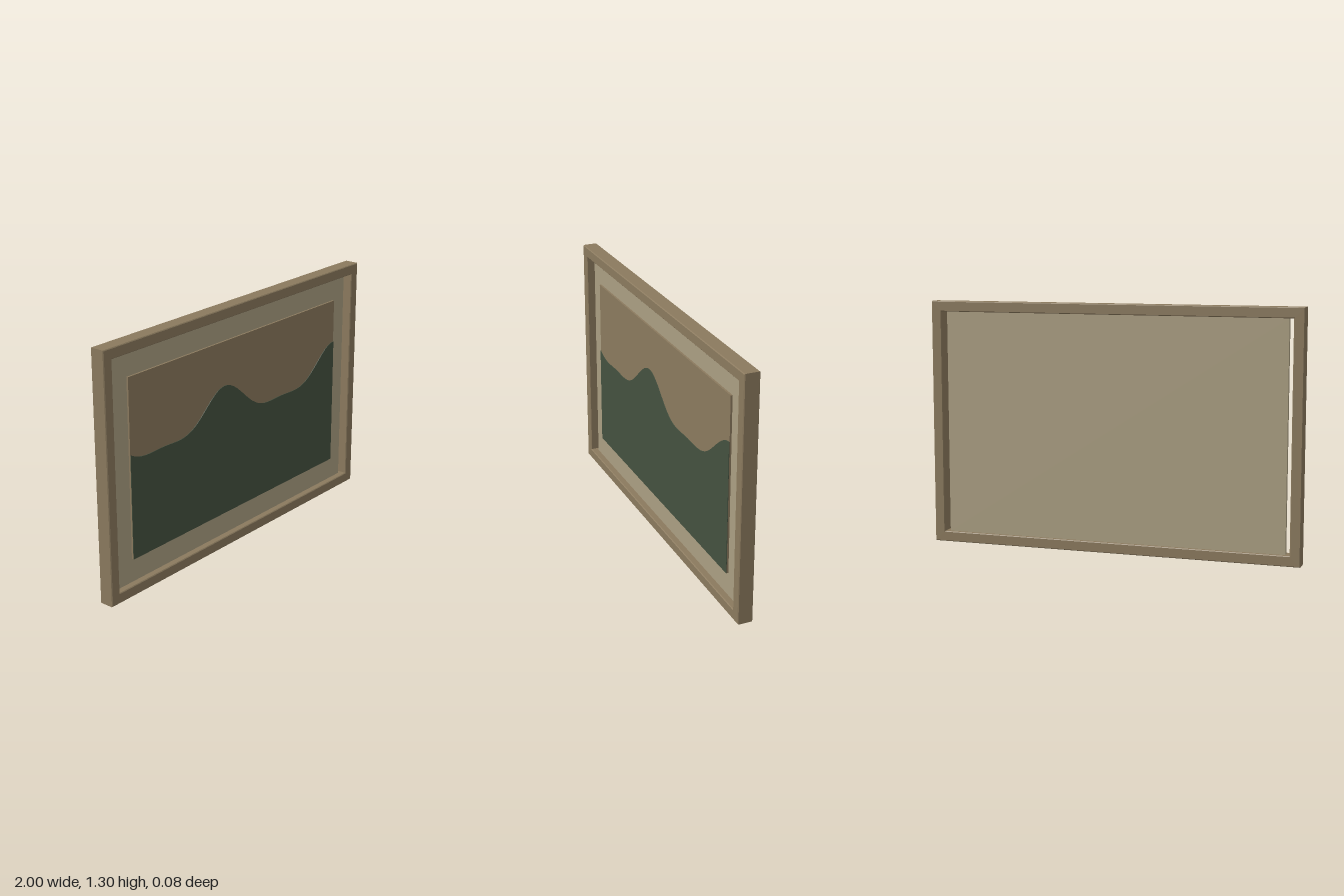
import * as THREE from 'three';

const wood = new THREE.MeshStandardMaterial({ color: 0x8b7a5e, name: 'brownWood' });
const paper = new THREE.MeshStandardMaterial({ color: 0xab9f82, name: 'beigeMat' });
const green = new THREE.MeshStandardMaterial({ color: 0x445140, name: 'darkGreen' });

const HEIGHT = 1.3, MID = HEIGHT / 2;

function rectPoints(halfW, halfH) {
  return [[-halfW, -halfH], [halfW, -halfH], [halfW, halfH], [-halfW, halfH]]
    .map(([x, y]) => new THREE.Vector2(x, y + MID));
}

function box(name, w, h, z0, z1, material) {
  const mesh = new THREE.Mesh(new THREE.BoxGeometry(w, h, z1 - z0), material);
  mesh.position.set(0, MID, (z0 + z1) / 2);
  mesh.name = name;
  return mesh;
}

// Outer moulding: rectangular ring with a slight bevel on every edge
function makeFrame() {
  const bevel = 0.004;
  const shape = new THREE.Shape(rectPoints(1 - bevel, MID - bevel));
  shape.holes.push(new THREE.Path(rectPoints(0.945 + bevel, 0.595 + bevel).reverse()));
  const geo = new THREE.ExtrudeGeometry(shape, {
    depth: 0.08 - 2 * bevel, bevelThickness: bevel, bevelSize: bevel, bevelSegments: 1,
  });
  geo.translate(0, 0, -0.04 + bevel);
  const mesh = new THREE.Mesh(geo, wood);
  mesh.name = 'frame';
  return mesh;
}

// Rolling hill silhouette: a repeating peak with flat valleys
function makeHills() {
  const halfW = 0.82, bottom = 0.18, steps = 64;
  const shape = new THREE.Shape();
  shape.moveTo(-halfW, bottom);
  shape.lineTo(halfW, bottom);
  for (let i = 0; i <= steps; i++) {
    const x = halfW - (2 * halfW * i) / steps;
    const a = (2 * Math.PI * (x + 0.12)) / 0.94;
    shape.lineTo(x, 0.7625 + 0.0925 * Math.cos(a) + 0.03 * Math.cos(2 * a));
  }
  const geo = new THREE.ExtrudeGeometry(shape, { depth: 0.003, bevelEnabled: false });
  geo.translate(0, 0, 0.015);
  const mesh = new THREE.Mesh(geo, green);
  mesh.name = 'hills';
  return mesh;
}

export function createModel() {
  const group = new THREE.Group();
  group.name = 'framedLandscape';
  group.add(makeFrame());
  // Backing panel: narrow gap at the sides, held by the top and bottom rails
  group.add(box('backingPanel', 1.84, 1.19, -0.02, 0.005, paper));
  // Picture sheet raised on the panel
  group.add(box('pictureSky', 1.64, 0.94, 0.004, 0.015, wood));
  group.add(makeHills());
  return group;
}
